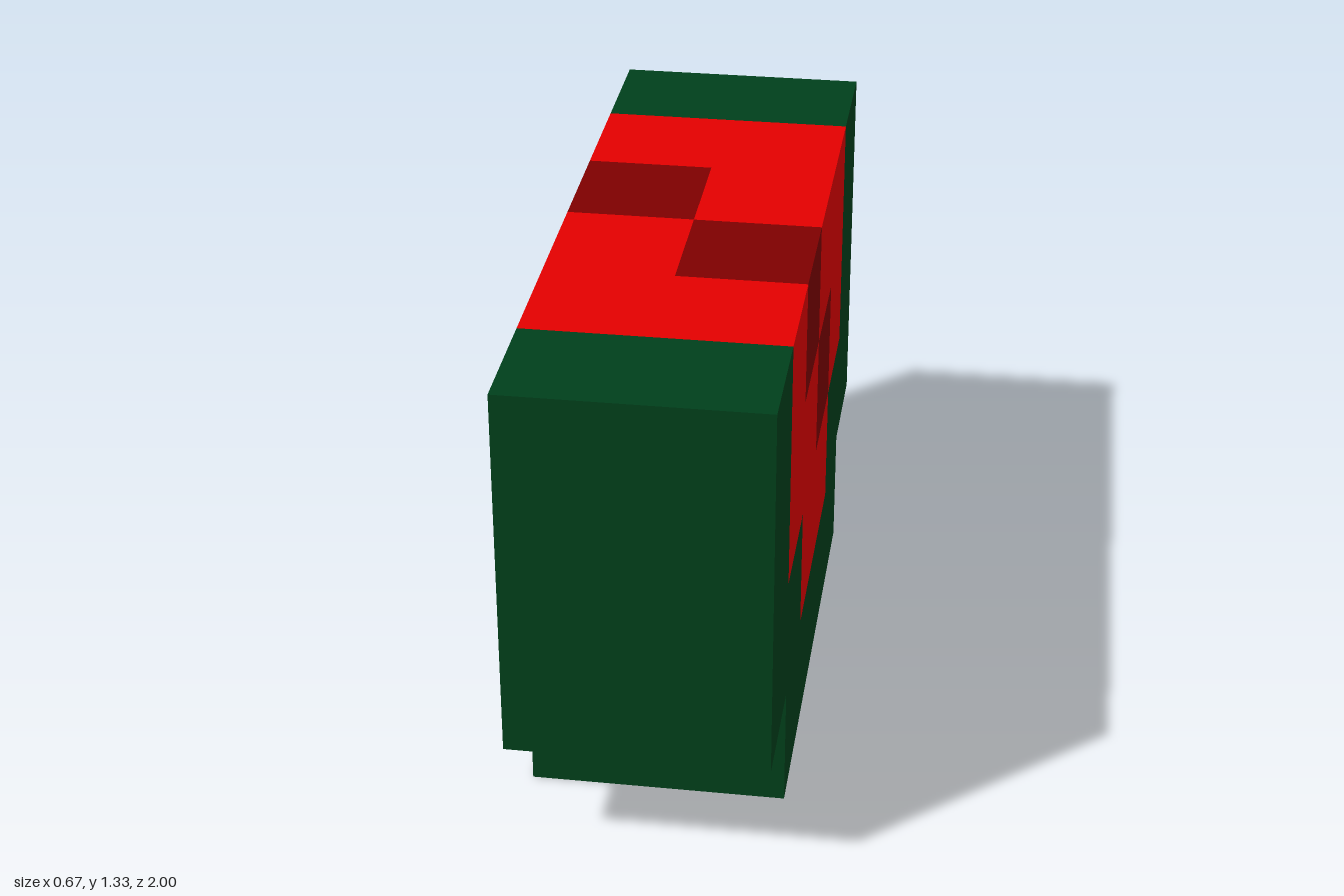
import * as THREE from 'three';
import { mergeGeometries } from 'three/addons/utils/BufferGeometryUtils.js';

const U = 1 / 3; // edge of one cube cell

// Cells of the left (+x) half: rows from top to bottom, columns from front to back.
// G = rind, R = flesh, S = seed
const LEFT = ['GRSRRG', 'GRRSRG', 'GGRRGG', '.GGGG.'];
// The right half is the same slice turned around.
const RIGHT = LEFT.map((row) => [...row].reverse().join(''));

const PARTS = {
  G: { name: 'rind', material: 'rindGreen', color: 0x00401b },
  R: { name: 'flesh', material: 'fleshRed', color: 0xe40000 },
  S: { name: 'seeds', material: 'seedDarkRed', color: 0x7e0000 },
};

// Direction of each cube side and the rotation that turns a plane to face it
const SIDES = [
  { d: [0, 0, 1], rx: 0, ry: 0 },
  { d: [0, 0, -1], rx: 0, ry: Math.PI },
  { d: [1, 0, 0], rx: 0, ry: Math.PI / 2 },
  { d: [-1, 0, 0], rx: 0, ry: -Math.PI / 2 },
  { d: [0, 1, 0], rx: -Math.PI / 2, ry: 0 },
  { d: [0, -1, 0], rx: Math.PI / 2, ry: 0 },
];

// Cell letter at grid position: x 0..1, y 0..3 upwards, z 0..5 towards the front
function cellAt(x, y, z) {
  const half = [RIGHT, LEFT][x];
  return half?.[3 - y]?.[5 - z] ?? '.';
}

// All exposed cube sides that belong to one kind of cell
function skinOf(letter) {
  const faces = [];
  for (let x = 0; x < 2; x++) for (let y = 0; y < 4; y++) for (let z = 0; z < 6; z++) {
    if (cellAt(x, y, z) !== letter) continue;
    for (const { d, rx, ry } of SIDES) {
      if (cellAt(x + d[0], y + d[1], z + d[2]) !== '.') continue;
      faces.push(new THREE.PlaneGeometry(U, U).rotateX(rx).rotateY(ry).translate(
        (x - 0.5 + d[0] / 2) * U,
        (y + 0.5 + d[1] / 2) * U,
        (z - 2.5 + d[2] / 2) * U,
      ));
    }
  }
  return mergeGeometries(faces);
}

export function createModel() {
  const model = new THREE.Group();
  model.name = 'melonSlice';
  for (const [letter, part] of Object.entries(PARTS)) {
    const material = new THREE.MeshStandardMaterial({ color: part.color });
    material.name = part.material;
    const mesh = new THREE.Mesh(skinOf(letter), material);
    mesh.name = part.name;
    model.add(mesh);
  }
  return model;
}
